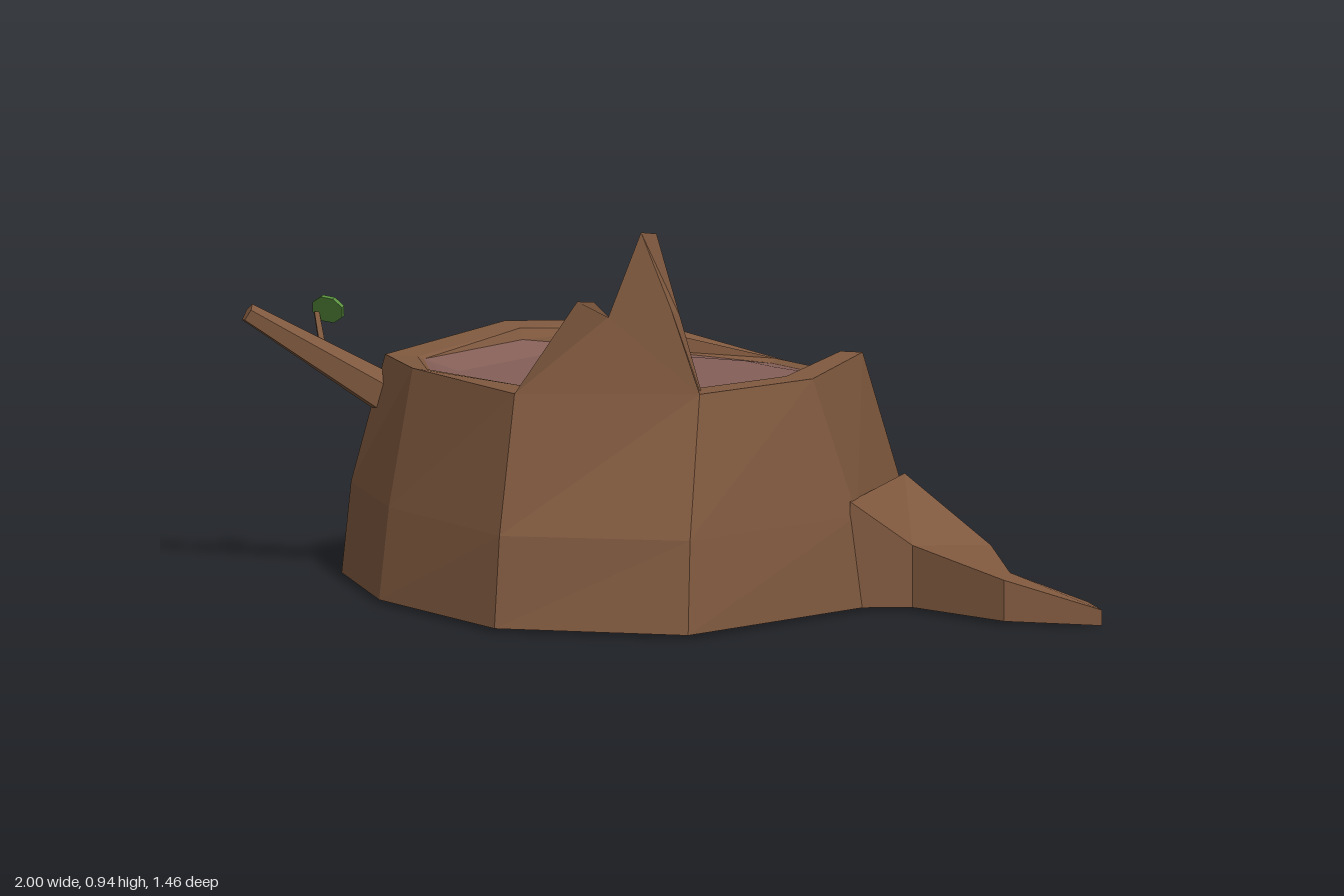
import * as THREE from 'three';

const V = (p) => new THREE.Vector3(...p);

// Flat-shaded geometry from a list of triangles
function fromTriangles(tris) {
  const g = new THREE.BufferGeometry().setFromPoints(tris.flat().map(V));
  g.computeVertexNormals();
  return g;
}

// Triangles joining a series of rings (counterclockwise seen from the last ring)
function skin(rings) {
  const tris = [];
  const n = rings[0].length;
  for (let k = 0; k + 1 < rings.length; k++) {
    const lo = rings[k], hi = rings[k + 1];
    for (let i = 0; i < n; i++) {
      const j = (i + 1) % n;
      tris.push([lo[i], lo[j], hi[j]], [lo[i], hi[j], hi[i]]);
    }
  }
  return tris;
}

// Fan that closes a ring at its centre
function cap(ring) {
  const n = ring.length;
  const centre = [0, 1, 2].map((k) => ring.reduce((s, p) => s + p[k], 0) / n);
  return ring.map((p, i) => [p, ring[(i + 1) % n], centre]);
}

const reversed = (ring) => [...ring].reverse();

// Root from sections [ax, az, aHeight, bx, bz, bHeight]; slopes lean sides a and b inward
function root(sections, slopeA, slopeB) {
  const mix = (p, q, t) => p + (q - p) * t;
  const rings = sections.map(([ax, az, ah, bx, bz, bh], i) => {
    const y = i === sections.length - 1 ? 0.003 : 0.012;
    return [[ax, y, az], [bx, y, bz],
      [mix(bx, ax, slopeB), bh, mix(bz, az, slopeB)],
      [mix(ax, bx, slopeA), ah, mix(az, bz, slopeA)]];
  });
  return fromTriangles([...cap(reversed(rings[0])), ...skin(rings), ...cap(rings[rings.length - 1])]);
}

// Tapered stick between two points
function stick(a, b, r0, r1, sides) {
  const from = V(a), to = V(b);
  const dir = to.clone().sub(from);
  const g = new THREE.CylinderGeometry(r1, r0, dir.length(), sides);
  g.applyQuaternion(new THREE.Quaternion().setFromUnitVectors(new THREE.Vector3(0, 1, 0), dir.normalize()));
  const mid = from.add(to).multiplyScalar(0.5);
  return g.translate(mid.x, mid.y, mid.z);
}

export function createModel() {
  const model = new THREE.Group();
  const material = (name, color) => {
    const m = new THREE.MeshStandardMaterial({ color, flatShading: true });
    m.name = name;
    return m;
  };
  const bark = material('bark brown', 0x80593f);
  const heart = material('heartwood mauve', 0x845f57);
  const green = material('leaf green', 0x5a923f);
  const add = (name, geometry, mat) => {
    const mesh = new THREE.Mesh(geometry, mat);
    mesh.name = name;
    model.add(mesh);
    return mesh;
  };

  // Stump rings, starting at the front corner and running round by the +x side
  const base = [[-0.1, 0.73], [0.32, 0.535], [0.44, -0.01], [0.3, -0.385], [0.1, -0.48],
    [-0.06, -0.555], [-0.44, -0.43], [-0.78, -0.17], [-0.82, 0.35], [-0.54, 0.585]].map(([x, z]) => [x, 0.012, z]);
  const middle = [[-0.1, 0.71], [0.3, 0.5], [0.42, 0], [0.29, -0.36], [0.1, -0.44],
    [-0.05, -0.51], [-0.44, -0.39], [-0.76, -0.15], [-0.8, 0.34], [-0.53, 0.56]].map(([x, z]) => [x, 0.23, z]);
  const rim = [[-0.1, 0.56, 0.65], [0.255, 0.56, 0.4], [0.35, 0.56, 0.08], [0.24, 0.56, -0.27], [0.06, 0.43, -0.38],
    [-0.02, 0.47, -0.43], [-0.43, 0.56, -0.31], [-0.68, 0.56, -0.11], [-0.73, 0.535, 0.3], [-0.49, 0.56, 0.52]];
  const lip = [[-0.1, 0.56, 0.56], [0.19, 0.56, 0.38], [0.28, 0.56, 0.09], [0.19, 0.56, -0.25], [0.05, 0.5, -0.32],
    [-0.07, 0.5, -0.35], [-0.4, 0.55, -0.27], [-0.61, 0.555, -0.07], [-0.65, 0.535, 0.28], [-0.47, 0.555, 0.49]];
  // Copy of the lip, shrunk towards the middle of the stump, at the given heights
  const shrunk = (s, heights) => lip.map(([x, , z], i) => [-0.18 + (x + 0.18) * s, heights[i], 0.1 + (z - 0.1) * s]);
  const floor = shrunk(0.97, [0.54, 0.53, 0.52, 0.5, 0.49, 0.49, 0.5, 0.53, 0.53, 0.54]);
  const hollow = shrunk(0.8, Array(10).fill(0.505));
  add('stump', fromTriangles([...cap(reversed(base)), ...skin([base, middle, rim, lip, floor])]), bark);

  // Cut wood inside the rim, a shallow dish
  add('cutWood', fromTriangles([...skin([floor, hollow]), ...cap(hollow)]), heart);

  // Twin-peaked splinter standing on the front of the rim
  const outer = [[-0.1, 0.56, 0.65], [0.02, 0.78, 0.565], [0.07, 0.74, 0.51], [0.125, 0.94, 0.455],
    [0.19, 0.76, 0.425], [0.255, 0.56, 0.4]];
  const inner = [[-0.1, 0.5, 0.56], [0.04, 0.775, 0.525], [0.06, 0.73, 0.485], [0.148, 0.935, 0.425],
    [0.198, 0.74, 0.4], [0.24, 0.5, 0.345]];
  const splinter = [];
  for (const [a, b, c] of [[0, 5, 2], [0, 2, 1], [5, 4, 2], [4, 3, 2]]) {
    splinter.push([outer[a], outer[b], outer[c]], [inner[a], inner[c], inner[b]]);
  }
  for (let i = 0; i < 5; i++) {
    splinter.push([outer[i], outer[i + 1], inner[i + 1]], [outer[i], inner[i + 1], inner[i]]);
  }
  add('splinter', fromTriangles(splinter), bark);

  // Roots
  add('leftRoot', root([
    [0.415, 0.02, 0.265, 0.29, -0.385, 0.265],
    [0.53, -0.07, 0.16, 0.6, -0.31, 0.135],
    [0.81, -0.05, 0.11, 0.76, -0.145, 0.11],
    [1, -0.18, 0.04, 0.92, -0.23, 0.045],
  ], 0, 0.07), bark);
  add('backRoot', root([
    [-0.43, -0.42, 0.24, -0.76, -0.15, 0.23],
    [-0.73, -0.445, 0.165, -0.88, -0.42, 0.165],
    [-0.735, -0.62, 0.11, -0.87, -0.59, 0.115],
    [-0.865, -0.73, 0.065, -1, -0.715, 0.07],
  ], 0.1, 0), bark);

  // Broken branch with a twig and one thin leaf leaning forward
  add('branch', stick([-0.705, 0.43, 0.3], [-0.955, 0.645, 0.54], 0.052, 0.024, 5), bark);
  add('twig', stick([-0.83, 0.55, 0.41], [-0.862, 0.635, 0.392], 0.01, 0.008, 4), bark);
  const leaf = add('leaf', new THREE.CylinderGeometry(1, 1, 1, 8).rotateX(Math.PI / 2), green);
  leaf.scale.set(0.047, 0.036, 0.009);
  leaf.rotation.set(0.4, 0, 0.25);
  leaf.position.set(-0.827, 0.646, 0.393);

  return model;
}
